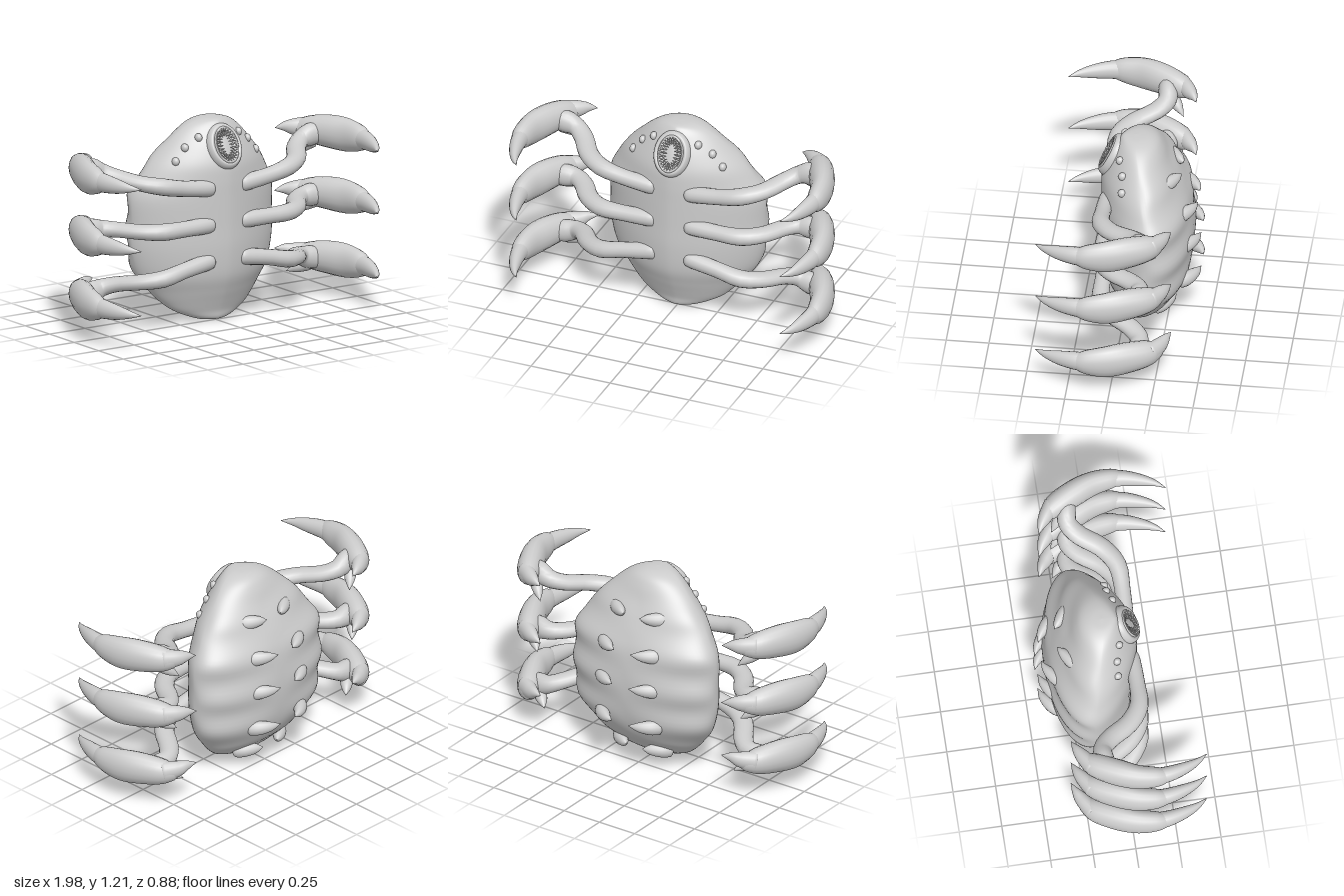
import * as THREE from 'three';

const grey = new THREE.MeshStandardMaterial({ color: 0xcccccc, side: THREE.DoubleSide });
const TAU = Math.PI * 2;

function add(parent, name, geometry) {
  const mesh = new THREE.Mesh(geometry, grey);
  mesh.name = name;
  parent.add(mesh);
  return mesh;
}

// Smooth skin over equally sized closed rings of points
function loft(rings) {
  const n = rings[0].length, index = [];
  for (let i = 0; i < rings.length - 1; i++) {
    for (let j = 0; j < n; j++) {
      const k = (j + 1) % n, a = i * n + j, b = i * n + k;
      index.push(a, b, a + n, b, b + n, a + n);
    }
  }
  const g = new THREE.BufferGeometry();
  g.setAttribute('position', new THREE.Float32BufferAttribute(rings.flat().flatMap(p => [p.x, p.y, p.z]), 3));
  g.setIndex(index);
  g.computeVertexNormals();
  return g;
}

// Tapering limb through stations [x, y, z, side radius, vertical radius]
function sweep(stations, steps = 24, sides = 18) {
  const path = new THREE.CatmullRomCurve3(stations.map(s => new THREE.Vector3(s[0], s[1], s[2])), false, 'catmullrom');
  const size = new THREE.CatmullRomCurve3(stations.map(s => new THREE.Vector3(s[3], s[4], 0)), false, 'catmullrom');
  const rings = [];
  const ring = (t, k) => {
    const c = path.getPoint(t), T = path.getTangent(t), r = size.getPoint(t);
    const S = T.clone().cross(new THREE.Vector3(0, 1, 0)).normalize();
    const U = S.clone().cross(T);
    rings.push(Array.from({ length: sides }, (_, j) => {
      const a = j / sides * TAU;
      return c.clone().addScaledVector(S, Math.cos(a) * Math.max(r.x, 0) * k)
        .addScaledVector(U, -Math.sin(a) * Math.max(r.y, 0) * k);
    }));
  };
  ring(0, 0);
  ring(0, 0.75);
  for (let i = 1; i <= steps; i++) ring(i / steps, 1);
  ring(1, 0);
  return loft(rings);
}

// Body stations: height, half width, front z, back z, z of the widest point
const BODY = [
  [0.005, 0.005, -0.02, -0.03, -0.025], [0.02, 0.11, 0.03, -0.10, -0.03], [0.07, 0.235, 0.045, -0.18, -0.07],
  [0.13, 0.31, 0.07, -0.24, -0.10], [0.2, 0.375, 0.10, -0.31, -0.13], [0.3, 0.447, 0.135, -0.36, -0.15],
  [0.45, 0.485, 0.15, -0.388, -0.16], [0.6, 0.487, 0.15, -0.392, -0.16], [0.76, 0.485, 0.15, -0.377, -0.16],
  [0.87, 0.433, 0.15, -0.342, -0.15], [0.96, 0.375, 0.143, -0.3, -0.13], [1.05, 0.295, 0.113, -0.25, -0.11],
  [1.13, 0.215, 0.073, -0.215, -0.09], [1.18, 0.145, 0.042, -0.18, -0.07], [1.205, 0.075, 0.015, -0.13, -0.06],
  [1.212, 0.005, -0.05, -0.06, -0.055]];

function frontZ(x, y) {
  const i = BODY.findIndex(s => s[0] > y), a = BODY[i - 1], b = BODY[i];
  const [, w, zf, , zc] = a.map((v, k) => THREE.MathUtils.lerp(v, b[k], (y - a[0]) / (b[0] - a[0])));
  return zc + (zf - zc) * Math.pow(1 - Math.pow(Math.abs(x) / w, 1.6), 1 / 1.6);
}

function bodyGeometry() {
  const A = new THREE.CatmullRomCurve3(BODY.map(s => new THREE.Vector3(s[0], s[1], s[4])), false, 'catmullrom');
  const B = new THREE.CatmullRomCurve3(BODY.map(s => new THREE.Vector3(s[2], s[3], 0)), false, 'catmullrom');
  const rings = [], sides = 72, steps = 80;
  for (let i = 0; i <= steps; i++) {
    const { x: y, y: w, z: zc } = A.getPoint(i / steps), { x: zf, y: zb } = B.getPoint(i / steps);
    // the first and last rings close to a point
    const open = i > 0 && i < steps ? 1 : 0;
    rings.push(Array.from({ length: sides }, (_, j) => {
      const a = j / sides * TAU, s = Math.sin(a), c = Math.cos(a);
      // pointed keel-like front, rounder back with a swelling under each spike
      const e = c > 0 ? 2 / 1.6 : 1;
      const lobe = Math.max(0, -c) * Math.abs(s) * 2 * Math.min(1, w / 0.3);
      const swell = 1 + lobe * (0.015 + 0.035 * Math.cos((y - 0.12) / 0.225 * TAU));
      const x = Math.sign(s) * Math.pow(Math.abs(s), e) * Math.max(w, 0) * swell * open;
      const z = zc + (c > 0 ? (zf - zc) * Math.pow(c, e) : (zc - zb) * c * swell) * open;
      return new THREE.Vector3(x, y, z);
    }));
  }
  return loft(rings);
}

// Oval mouth: flat outer lips around a narrow toothed slit
function buildMouth() {
  const mouth = new THREE.Group();
  mouth.name = 'mouth';
  mouth.position.set(0, 1.063, frontZ(0, 1.063) - 0.008);
  mouth.rotation.x = -0.45;
  const bowl = (name, points, scaleX) => {
    const curve = new THREE.SplineCurve(points.map(p => new THREE.Vector2(...p)));
    add(mouth, name, new THREE.LatheGeometry(curve.getPoints(30), 48).rotateX(Math.PI / 2)).scale.x = scaleX;
  };
  bowl('outerLip', [[0.09, 0.008], [0.108, 0.018], [0.124, 0.016], [0.138, -0.006], [0.142, -0.05]], 0.8);
  bowl('innerLip', [[0.001, 0.004], [0.085, 0.006], [0.097, 0.022], [0.108, 0.024], [0.118, 0.006]], 0.7);
  for (const [count, rx, ry, z, length] of [[26, 0.05, 0.085, 0.02, 0.03], [20, 0.032, 0.066, 0.014, 0.024]]) {
    for (let i = 0; i < count; i++) {
      const a = i / count * TAU;
      const tooth = add(mouth, 'tooth', new THREE.ConeGeometry(0.008, length, 8));
      tooth.position.set(Math.cos(a) * rx, Math.sin(a) * ry, z);
      tooth.rotation.z = Math.atan2(Math.sin(a) * rx, Math.cos(a) * ry) + Math.PI / 2;
    }
  }
  return mouth;
}

// Legs: root, bend and claw heights, then x and drop of the finger and thumb tips
const LEGS = [
  { root: 0.82, bend: 0.875, tip: 0.985, finger: [0.645, 0.01], thumb: [0.7, -0.14] },
  { root: 0.605, bend: 0.605, tip: 0.615, finger: [0.64, 0.005], thumb: [0.72, -0.11] },
  { root: 0.39, bend: 0.325, tip: 0.232, finger: [0.64, 0.045], thumb: [0.67, -0.08] }];

function buildLeg(side, { root, bend, tip, finger, thumb }) {
  const leg = new THREE.Group();
  leg.name = side > 0 ? 'leftLeg' : 'rightLeg';
  const part = (name, pts) => add(leg, name, sweep(pts.map(([x, ...rest]) => [x * side, ...rest])));
  const at = (k) => THREE.MathUtils.lerp(bend, tip, k);
  part('arm', [[0.09, root, 0.105, 0.035, 0.04], [0.14, root + (bend - root) * 0.1, 0.105, 0.047, 0.049],
    [0.3, (root + bend) / 2, 0.11, 0.047, 0.047], [0.44, bend, 0.10, 0.055, 0.05],
    [0.55, at(0.2), 0.025, 0.058, 0.045], [0.63, at(0.43), -0.09, 0.058, 0.045],
    [0.70, at(0.68), -0.15, 0.055, 0.052], [0.77, at(0.9), -0.15, 0.055, 0.068], [0.84, tip, -0.13, 0.045, 0.055]]);
  const claw = (name, pts) => part(name, pts.map(([x, dy, ...rest]) => [x, tip + dy, ...rest]));
  claw('palm', [[0.75, 0.005, -0.285, 0.035, 0.042], [0.81, 0.005, -0.21, 0.068, 0.079],
    [0.872, 0.005, -0.09, 0.074, 0.098], [0.915, 0, 0.02, 0.066, 0.099],
    [0.931, 0, 0.13, 0.056, 0.078], [0.93, 0, 0.2, 0.037, 0.047]]);
  claw('talon', [[0.93, 0, 0.1, 0.048, 0.062], [0.924, 0, 0.2, 0.045, 0.056], [0.9, -0.003, 0.3, 0.034, 0.043],
    [0.87, -0.004, 0.38, 0.019, 0.023], [0.832, -0.005, 0.44, 0.002, 0.002]]);
  claw('backFinger', [[0.83, 0.01, -0.22, 0.05, 0.065], [0.75, 0.01 + finger[1] * 0.3, -0.275, 0.042, 0.05],
    [0.70, 0.01 + finger[1] * 0.65, -0.305, 0.026, 0.03], [finger[0], finger[1], -0.33, 0, 0]]);
  claw('thumb', [[thumb[0] + 0.1, thumb[1] * 0.35, -0.16, 0.042, 0.042],
    [thumb[0] + 0.045, thumb[1] * 0.7, -0.21, 0.03, 0.03], [thumb[0], thumb[1], -0.25, 0, 0]]);
  return leg;
}

export function createModel() {
  const model = new THREE.Group();
  model.name = 'creature';
  add(model, 'body', bodyGeometry());
  model.add(buildMouth());

  for (const side of [1, -1]) {
    for (const spec of LEGS) model.add(buildLeg(side, spec));

    // Three small eyes on each side of the mouth
    for (const [x, y] of [[0.14, 1.115], [0.22, 1.06], [0.282, 0.985]]) {
      const eye = add(model, 'eye', new THREE.SphereGeometry(0.025, 20, 14));
      eye.position.set(x * side, y, frontZ(x, y));
      eye.scale.x = 0.85;
    }

    // Back spikes [height, tip z, base x], leaning in towards the spine
    for (const [y, z, x] of [[0.99, -0.325, 0.18], [0.795, -0.42, 0.2], [0.58, -0.44, 0.205],
      [0.34, -0.44, 0.205], [0.125, -0.295, 0.18]]) {
      add(model, 'backSpike', sweep([[x * side, y - 0.015, z + 0.12, 0.045, 0.045],
        [(x - 0.035) * side, y - 0.01, z + 0.07, 0.042, 0.044],
        [(x - 0.09) * side, y - 0.004, z + 0.025, 0.026, 0.029], [0.055 * side, y, z, 0, 0]], 14, 14));
    }
  }
  return model;
}
